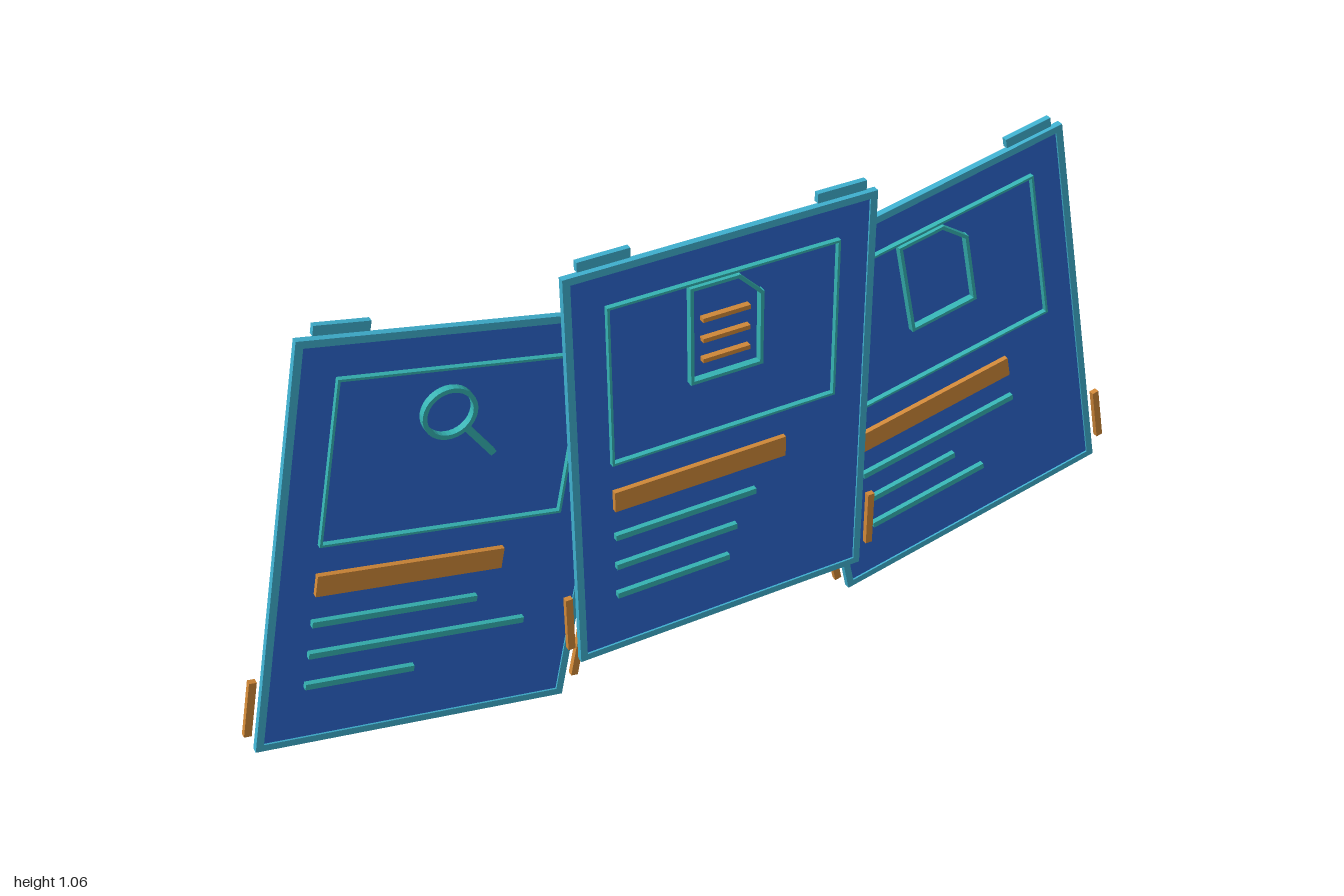
import * as THREE from 'three';

const mat = (name, color) => {
  const m = new THREE.MeshStandardMaterial({ color });
  m.name = name;
  return m;
};

export function createModel() {
  const blue = mat('panelBlue', 0x2c66cf);
  const cyan = mat('frameCyan', 0x3fb0cf);
  const teal = mat('lineTeal', 0x35b3b3);
  const orange = mat('accentOrange', 0xd08838);

  const W = 0.65, H = 0.9;        // panel size
  const PLATE = 0.01, FRAME = 0.014; // depths from the panel's back

  function box(parent, name, material, w, h, x, y, z0, z1, angle = 0) {
    const m = new THREE.Mesh(new THREE.BoxGeometry(w, h, z1 - z0), material);
    m.name = name;
    m.position.set(x, y, (z0 + z1) / 2);
    m.rotation.z = angle;
    parent.add(m);
    return m;
  }

  // Thin bar between two points on the panel face
  function bar(parent, name, material, a, b, width, z1) {
    const dx = b[0] - a[0], dy = b[1] - a[1];
    box(parent, name, material, Math.hypot(dx, dy) + width, width,
      (a[0] + b[0]) / 2, (a[1] + b[1]) / 2, PLATE, z1, Math.atan2(dy, dx));
  }

  // Closed outline made of bars
  function outline(parent, name, material, pts, width, z1) {
    const g = new THREE.Group();
    g.name = name;
    pts.forEach((p, i) => bar(g, name + 'Side', material, p, pts[(i + 1) % pts.length], width, z1));
    parent.add(g);
  }

  function documentIcon(parent) {
    outline(parent, 'documentIcon', teal,
      [[-0.074, 0.151], [0.074, 0.151], [0.074, 0.308], [0.024, 0.358], [-0.074, 0.358]], 0.007, 0.025);
  }

  // Panel with frame, picture border, heading, text lines and edge tabs
  function panel(name, lineLengths) {
    const g = new THREE.Group();
    g.name = name;
    box(g, 'board', [cyan, cyan, cyan, cyan, blue, blue], W, H, 0, 0, 0, PLATE);

    const rim = new THREE.Shape();
    const rect = (path, w, h) => path.moveTo(-w / 2, -h / 2).lineTo(w / 2, -h / 2)
      .lineTo(w / 2, h / 2).lineTo(-w / 2, h / 2).closePath();
    rect(rim, W, H);
    const hole = new THREE.Path();
    rect(hole, W - 0.03, H - 0.03);
    rim.holes.push(hole);
    const frame = new THREE.Mesh(
      new THREE.ExtrudeGeometry(rim, { depth: FRAME - PLATE, bevelEnabled: false }), cyan);
    frame.name = 'frame';
    frame.position.z = PLATE;
    g.add(frame);

    outline(g, 'pictureBorder', teal,
      [[-0.241, 0.018], [0.241, 0.018], [0.241, 0.367], [-0.241, 0.367]], 0.005, 0.021);
    box(g, 'heading', orange, 0.375, 0.046, -0.0535, -0.072, PLATE, 0.021);
    lineLengths.forEach((len, i) =>
      box(g, 'textLine', teal, len, 0.013, -0.241 + len / 2, -0.16 - i * 0.073, PLATE, 0.021));

    for (const s of [-1, 1]) {
      box(g, 'topTab', cyan, 0.105, 0.02, s * 0.245, 0.47, 0.005, 0.017);
      box(g, 'sideTab', orange, 0.015, 0.128, s * 0.345, -0.34, 0.005, 0.017);
    }
    return g;
  }

  const root = new THREE.Group();
  root.name = 'threePanelDisplay';

  // Centre panel: document with orange writing
  const centre = panel('centrePanel', [0.31, 0.267, 0.25]);
  centre.position.set(0, 0.58, 0.021);
  documentIcon(centre);
  for (const y of [0.283, 0.238, 0.193])
    box(centre, 'documentWriting', orange, 0.1, 0.009, 0, y, PLATE, 0.023);
  root.add(centre);

  // Panel on the -x side: magnifying glass
  const right = panel('rightPanel', [0.333, 0.443, 0.22]);
  right.position.set(-0.568, 0.508, -0.043);
  right.rotation.z = -Math.PI / 15;
  const ring = new THREE.Shape().absarc(0, 0, 0.054, 0, Math.PI * 2, false);
  ring.holes.push(new THREE.Path().absarc(0, 0, 0.045, 0, Math.PI * 2, true));
  const lens = new THREE.Mesh(
    new THREE.ExtrudeGeometry(ring, { depth: 0.015, bevelEnabled: false, curveSegments: 16 }), teal);
  lens.name = 'magnifierRing';
  lens.position.set(-0.022, 0.274, PLATE);
  right.add(lens);
  bar(right, 'magnifierHandle', teal, [0.02, 0.234], [0.073, 0.181], 0.013, 0.025);
  root.add(right);

  // Panel on the +x side: blank document
  const left = panel('leftPanel', [0.376, 0.218, 0.283]);
  left.position.set(0.568, 0.508, -0.043);
  left.rotation.z = Math.PI / 15;
  documentIcon(left);
  root.add(left);

  return root;
}
